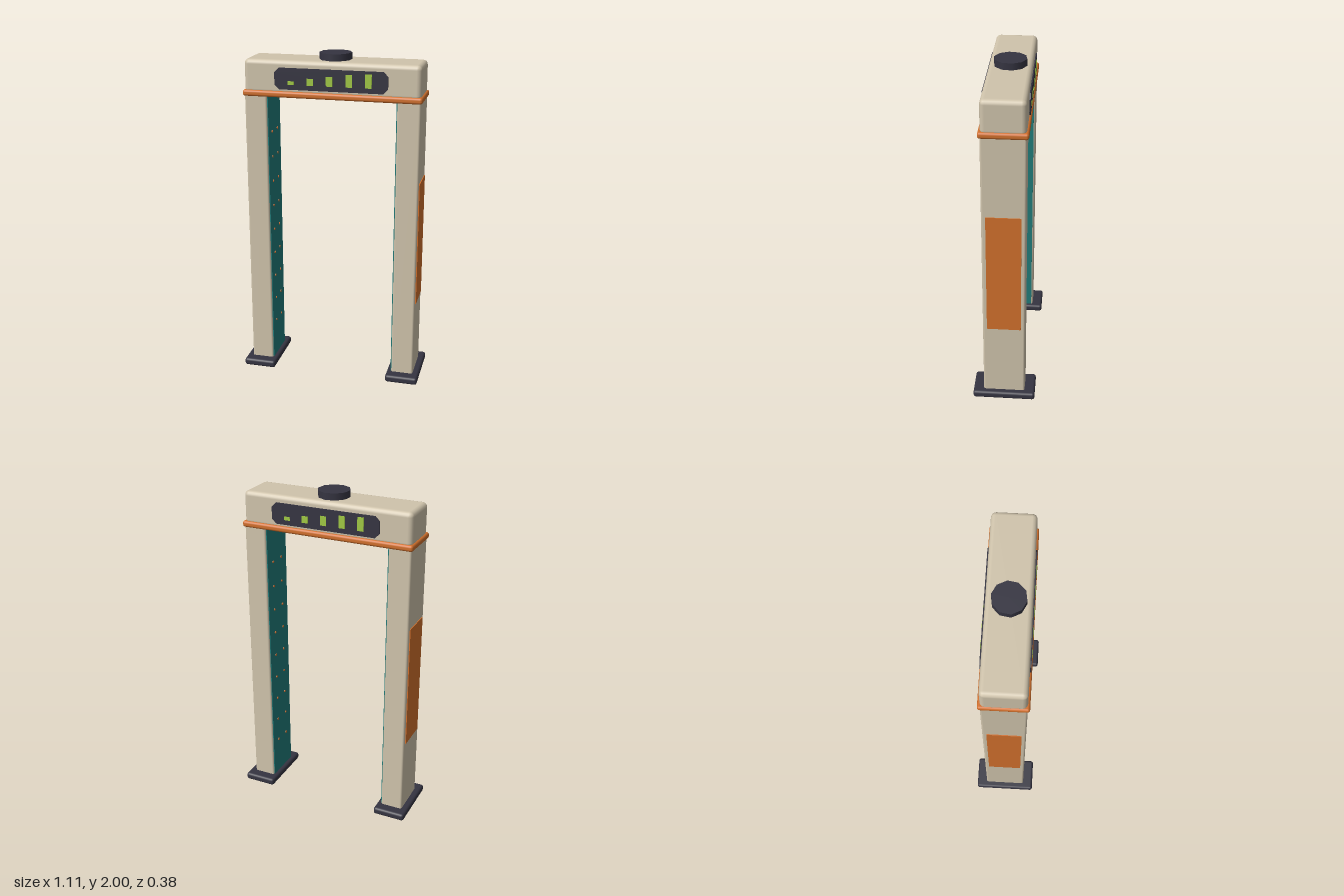
import * as THREE from 'three';
import { RoundedBoxGeometry } from 'three/addons/geometries/RoundedBoxGeometry.js';

const material = (name, color) => {
  const m = new THREE.MeshStandardMaterial({ color });
  m.name = name;
  return m;
};

export function createModel() {
  const cream = material('cream', 0xd0c4ac);
  const orange = material('orange', 0xd2702c);
  const teal = material('teal', 0x217c7a);
  const charcoal = material('charcoal', 0x353441);
  const green = material('green', 0xa0c843);

  const model = new THREE.Group();
  model.name = 'walkThroughDetector';

  const add = (parent, name, geometry, mat, x, y, z) => {
    const mesh = new THREE.Mesh(geometry, mat);
    mesh.name = name;
    mesh.position.set(x, y, z);
    parent.add(mesh);
    return mesh;
  };
  const box = (w, h, d) => new THREE.BoxGeometry(w, h, d);
  const rounded = (w, h, d, r) => new RoundedBoxGeometry(w, h, d, 2, r);

  // Posts with feet, inner sensor panels and outer plates
  for (const s of [1, -1]) {
    const side = new THREE.Group();
    side.name = s > 0 ? 'leftPost' : 'rightPost';
    model.add(side);
    add(side, 'foot', rounded(0.2, 0.045, 0.376, 0.015), charcoal, s * 0.457, 0.0225, 0);
    add(side, 'post', rounded(0.135, 1.74, 0.25, 0.012), cream, s * 0.4525, 0.89, 0);
    add(side, 'sensorPanel', box(0.006, 1.7, 0.23), teal, s * 0.384, 0.895, 0);
    add(side, 'outerPlate', box(0.006, 0.76, 0.2), orange, s * 0.522, 0.89, 0);
    // Two columns of small sensor studs
    const stud = new THREE.CylinderGeometry(0.008, 0.008, 0.006, 8).rotateZ(Math.PI / 2);
    for (let row = 0; row < 9; row++) {
      for (const z of [-0.05, 0.05]) add(side, 'sensorStud', stud, orange, s * 0.38, 0.28 + row * 0.155, z);
    }
  }

  // Header, trim band and beacon
  add(model, 'trimBand', rounded(1.06, 0.037, 0.274, 0.014), orange, 0, 1.7625, 0);
  add(model, 'header', rounded(1.04, 0.2, 0.25, 0.028), cream, 0, 1.86, 0);
  const beacon = new THREE.CylinderGeometry(0.095, 0.095, 0.05, 10);
  add(model, 'beacon', beacon, charcoal, 0, 1.975, 0).rotation.y = -0.157;

  // Display outline with clipped corners
  const w = 0.333, h = 0.0625, c = 0.027;
  const outline = new THREE.Shape([
    [-w + c, -h], [w - c, -h], [w, -h + c], [w, h - c],
    [w - c, h], [-w + c, h], [-w, h - c], [-w, -h + c],
  ].map(([x, y]) => new THREE.Vector2(x, y)));
  const panel = new THREE.ExtrudeGeometry(outline, { depth: 0.012, bevelEnabled: false });
  const barHeights = [0.021, 0.04, 0.056, 0.072, 0.08];

  // Matching displays on the front and back
  for (const back of [false, true]) {
    const display = new THREE.Group();
    display.name = back ? 'backDisplay' : 'frontDisplay';
    display.rotation.y = back ? Math.PI : 0;
    model.add(display);
    add(display, 'displayPanel', panel, charcoal, 0, 1.8555, 0.12);
    barHeights.forEach((height, i) => {
      add(display, 'signalBar', box(0.038, height, 0.006), green, -0.235 + i * 0.114, 1.822 + height / 2, 0.132);
    });
  }
  return model;
}
